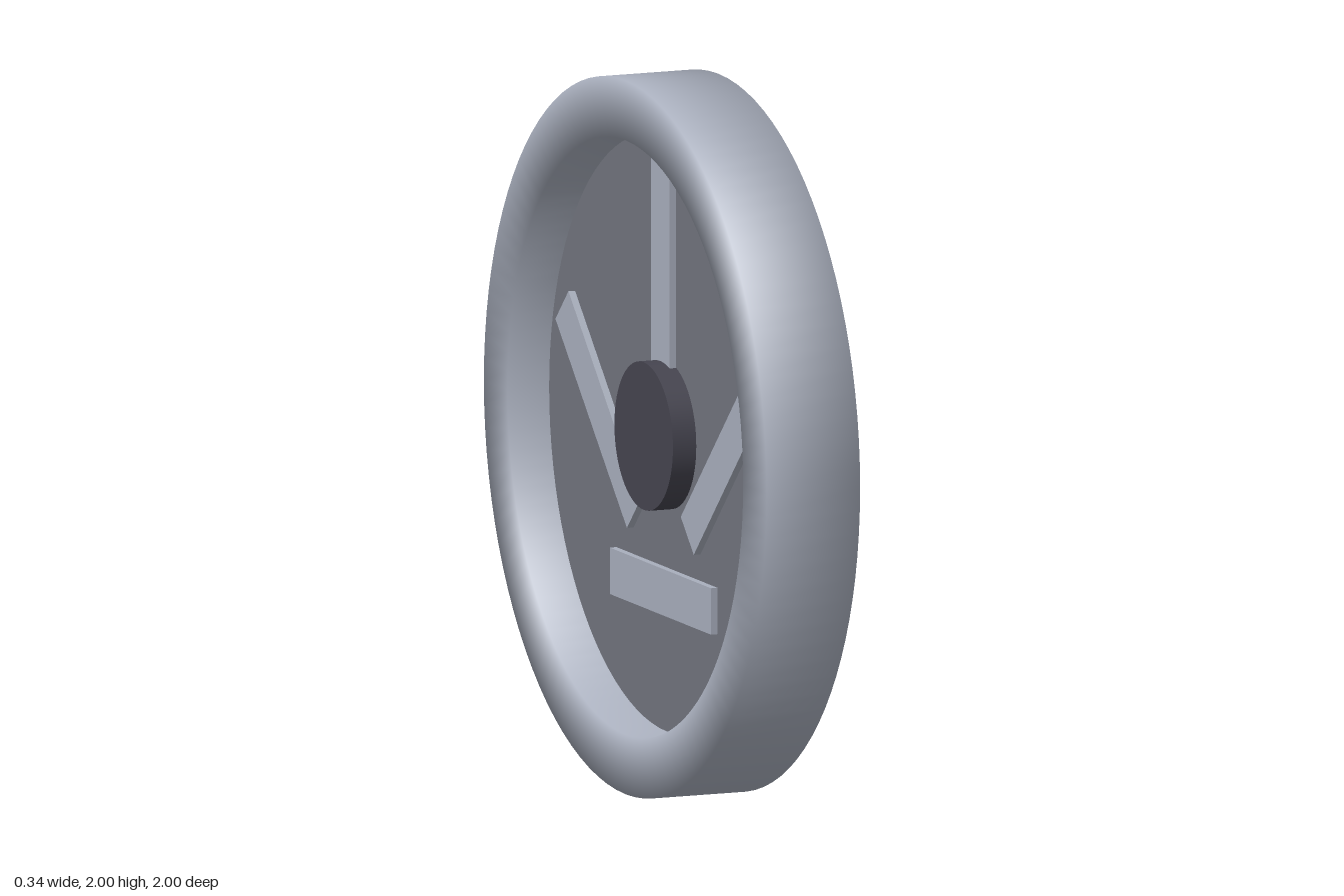
import * as THREE from 'three';

const material = (name, color) => {
  const m = new THREE.MeshStandardMaterial({ color });
  m.name = name;
  return m;
};

export function createModel() {
  const silver = material('silver grey', 0xa8aebc);
  const grey = material('mid grey', 0x71747d);
  const dark = material('dark grey', 0x45444f);

  const group = new THREE.Group();
  group.name = 'wheel';

  const add = (name, geometry, mat, x = 0, y = 1, z = 0) => {
    const mesh = new THREE.Mesh(geometry, mat);
    mesh.name = name;
    mesh.position.set(x, y, z);
    group.add(mesh);
    return mesh;
  };

  // Cylinder lying along x between two x positions
  const axle = (name, radius, x0, x1, mat) =>
    add(name, new THREE.CylinderGeometry(radius, radius, x1 - x0, 64).rotateZ(Math.PI / 2), mat, (x0 + x1) / 2);

  // Rim: rectangular section with softly shaded corners (local y points to -x)
  const section = [[0.833, -0.11], [1, -0.11], [1, 0.17], [0.833, 0.17], [0.833, -0.11]]
    .map(([r, a]) => new THREE.Vector2(r, a));
  add('rim', new THREE.LatheGeometry(section, 96).rotateZ(Math.PI / 2), silver);

  // Centre plate and hub
  axle('plate', 0.834, -0.045, -0.01, grey);
  axle('hub', 0.207, -0.115, 0.165, dark);

  // Bars on both sides of the plate: [y, z, tilt]
  const bars = [
    [1.443, 0, 0],
    [0.562, 0, Math.PI / 2],
    [1, 0.443, Math.PI / 4],
    [1, -0.443, -Math.PI / 4],
  ];
  for (const [y, z, tilt] of bars) {
    add('bar', new THREE.BoxGeometry(0.075, 0.715, 0.13), silver, -0.0275, y, z).rotation.x = tilt;
  }

  // Thin keys set flush around the hub
  for (let i = 0; i < 4; i++) {
    const a = (i * Math.PI) / 2;
    add('hubKey', new THREE.BoxGeometry(0.155, 0.008, 0.04), silver,
      0.0575, 1 + 0.205 * Math.cos(a), 0.205 * Math.sin(a)).rotation.x = a;
  }

  return group;
}
